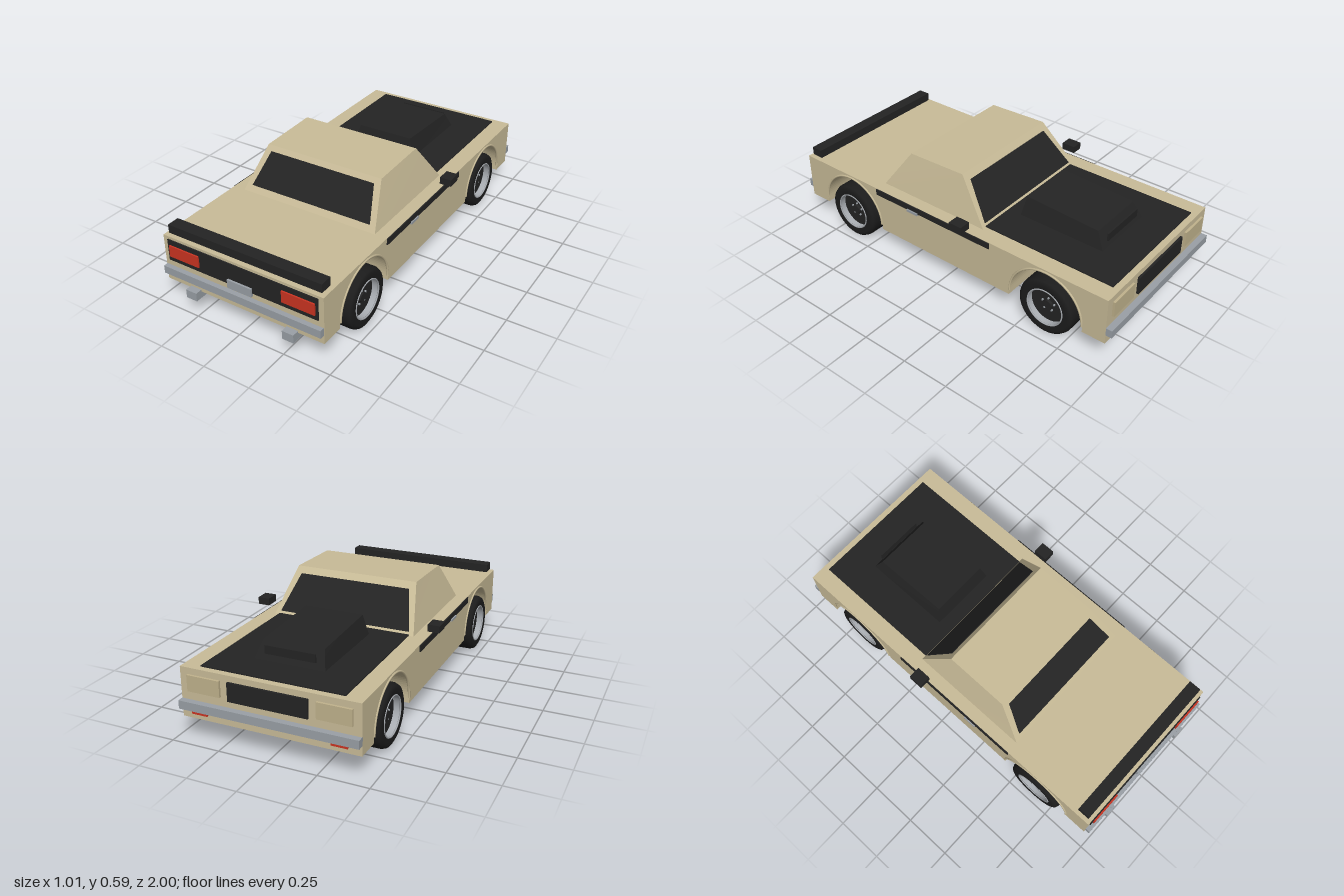
import * as THREE from 'three';

const mat = (name, color, side = THREE.FrontSide) => {
  const m = new THREE.MeshStandardMaterial({ color, side });
  m.name = name;
  return m;
};

export function createModel() {
  const car = new THREE.Group();
  car.name = 'pickupCoupe';
  const paint = mat('beige paint', 0xc9bc98);
  const black = mat('black trim', 0x242424);
  const rubber = mat('tyre rubber', 0x1c1c1c);
  const metal = mat('grey metal', 0x9aa0a6);
  const barrelMetal = mat('rim metal', 0xa9adb2, THREE.DoubleSide);
  const red = mat('red lens', 0xcc3422);
  const lens = mat('headlight lens', 0xc0b28c);

  const add = (name, geo, material, parent = car) => {
    const mesh = new THREE.Mesh(geo, material);
    mesh.name = name;
    parent.add(mesh);
    return mesh;
  };
  // Box given by its limits on each axis
  const box = (name, m, x0, x1, y0, y1, z0, z1) => {
    const g = new THREE.BoxGeometry(x1 - x0, y1 - y0, z1 - z0);
    g.translate((x0 + x1) / 2, (y0 + y1) / 2, (z0 + z1) / 2);
    return add(name, g, m);
  };
  // The same box on both sides of the car
  const pair = (name, m, x0, x1, ...rest) => {
    box(name + 'Left', m, x0, x1, ...rest);
    box(name + 'Right', m, -x1, -x0, ...rest);
  };
  // Tapered block: each end is [halfWidth, zMin, zMax, y at zMin, y at zMax]
  const tapered = (name, m, bottom, top) => {
    const g = new THREE.BoxGeometry(2, 2, 2);
    const p = g.attributes.position;
    for (let i = 0; i < p.count; i++) {
      const e = p.getY(i) > 0 ? top : bottom;
      const k = p.getZ(i) > 0 ? 1 : 0;
      p.setXYZ(i, p.getX(i) * e[0], e[3 + k], e[1 + k]);
    }
    g.computeVertexNormals();
    return add(name, g, m);
  };

  const wheelZ = [-0.635, 0.63];
  const axleY = 0.155;
  const archR = 0.21;

  // Lower body: centre box and two side slabs with wheel arches cut out
  box('bodyCentre', paint, -0.28, 0.28, 0.125, 0.375, -0.968, 0.963);
  const side = new THREE.Shape();
  side.moveTo(-0.968, 0.125);
  for (const z of wheelZ) {
    side.lineTo(z - archR, 0.125);
    side.lineTo(z - archR, axleY);
    side.absarc(z, axleY, archR, Math.PI, 0, true);
    side.lineTo(z + archR, 0.125);
  }
  side.lineTo(0.963, 0.125);
  side.lineTo(0.963, 0.375);
  side.lineTo(-0.968, 0.375);
  const slabGeo = new THREE.ExtrudeGeometry(side, { depth: 0.17, bevelEnabled: false, curveSegments: 24 });
  slabGeo.rotateY(-Math.PI / 2);
  add('bodySideLeft', slabGeo, paint).position.x = 0.45;
  add('bodySideRight', slabGeo, paint).position.x = -0.28;

  // Arch lips
  const lipGeo = new THREE.TorusGeometry(0.207, 0.006, 6, 28, Math.PI);
  lipGeo.rotateY(-Math.PI / 2);
  for (const z of wheelZ) {
    for (const s of [1, -1]) add('archLip', lipGeo, paint).position.set(s * 0.45, axleY, z);
  }

  // Cabin and windows
  tapered('cabin', paint, [0.385, -0.215, 0.44, 0.375, 0.375], [0.33, -0.045, 0.292, 0.595, 0.585]);
  tapered('rearWindow', black, [0.345, 0.417, 0.423, 0.406, 0.406], [0.3, 0.308, 0.314, 0.56, 0.56]);
  tapered('windscreen', black, [0.355, -0.206, -0.2, 0.392, 0.392], [0.3, -0.073, -0.067, 0.563, 0.563]);

  // Bonnet panel with scoop and its inlet
  box('bonnetPanel', black, -0.36, 0.36, 0.374, 0.381, -0.935, -0.212);
  tapered('bonnetScoop', black, [0.18, -0.765, -0.287, 0.38, 0.38], [0.155, -0.718, -0.307, 0.465, 0.485]);
  box('scoopInlet', black, -0.13, 0.13, 0.41, 0.452, -0.76, -0.753);

  // Tail spoiler
  box('spoiler', black, -0.43, 0.43, 0.382, 0.427, 0.88, 0.945);

  // Side trim, handles and mirrors
  pair('sideStripe', black, 0.449, 0.456, 0.341, 0.373, -0.305, 0.44);
  pair('doorHandle', metal, 0.45, 0.462, 0.334, 0.347, 0.15, 0.22);
  pair('mirror', black, 0.443, 0.505, 0.398, 0.435, -0.178, -0.103);

  // Tail end
  box('tailPanel', black, -0.423, 0.423, 0.246, 0.361, 0.96, 0.969);
  pair('tailLight', red, 0.235, 0.41, 0.273, 0.334, 0.965, 0.977);
  box('numberPlate', metal, -0.068, 0.068, 0.23, 0.275, 0.965, 0.979);
  box('tailBumper', metal, -0.447, 0.447, 0.172, 0.213, 0.96, 0.988);
  pair('exhaust', metal, 0.247, 0.309, 0.09, 0.135, 0.917, 1.0);

  // Nose end
  box('grille', black, -0.2, 0.2, 0.252, 0.345, -0.98, -0.965);
  pair('headlight', lens, 0.24, 0.41, 0.262, 0.343, -0.98, -0.965);
  box('noseBumper', metal, -0.45, 0.45, 0.175, 0.217, -1.0, -0.96);
  pair('indicator', red, 0.31, 0.39, 0.155, 0.175, -0.985, -0.965);

  // Wheels, built with the axle along +x and the face outward
  const tyreGeo = new THREE.LatheGeometry([
    [0.1, -0.07], [0.13, -0.075], [0.147, -0.066], [0.154, -0.048],
    [0.154, 0.048], [0.147, 0.066], [0.13, 0.075], [0.1, 0.07],
  ].map(([r, a]) => new THREE.Vector2(r, a)), 40);
  const barrelGeo = new THREE.CylinderGeometry(0.1, 0.1, 0.14, 40, 1, true);
  const hubGeo = new THREE.CylinderGeometry(0.099, 0.099, 0.02, 40);
  const capGeo = new THREE.CylinderGeometry(0.022, 0.026, 0.015, 20);
  const nutGeo = new THREE.CylinderGeometry(0.005, 0.005, 0.012, 8);
  for (const g of [tyreGeo, barrelGeo, hubGeo, capGeo, nutGeo]) g.rotateZ(-Math.PI / 2);
  const lipRing = new THREE.TorusGeometry(0.099, 0.004, 6, 40);
  lipRing.rotateY(Math.PI / 2);

  wheelZ.forEach((z, i) => {
    for (const s of [1, -1]) {
      const wheel = new THREE.Group();
      wheel.name = (i ? 'tail' : 'nose') + 'Wheel' + (s > 0 ? 'Left' : 'Right');
      wheel.position.set(s * (i ? 0.393 : 0.38), axleY, z);
      if (s < 0) wheel.rotation.y = Math.PI;
      add('tyre', tyreGeo, rubber, wheel);
      add('rimBarrel', barrelGeo, barrelMetal, wheel);
      add('rimLip', lipRing, barrelMetal, wheel).position.x = 0.07;
      add('hub', hubGeo, black, wheel).position.x = 0.025;
      add('hubCap', capGeo, black, wheel).position.x = 0.04;
      for (let k = 0; k < 5; k++) {
        const a = (k / 5) * Math.PI * 2;
        add('wheelNut', nutGeo, metal, wheel).position.set(0.037, Math.cos(a) * 0.035, Math.sin(a) * 0.035);
      }
      car.add(wheel);
    }
  });

  return car;
}
